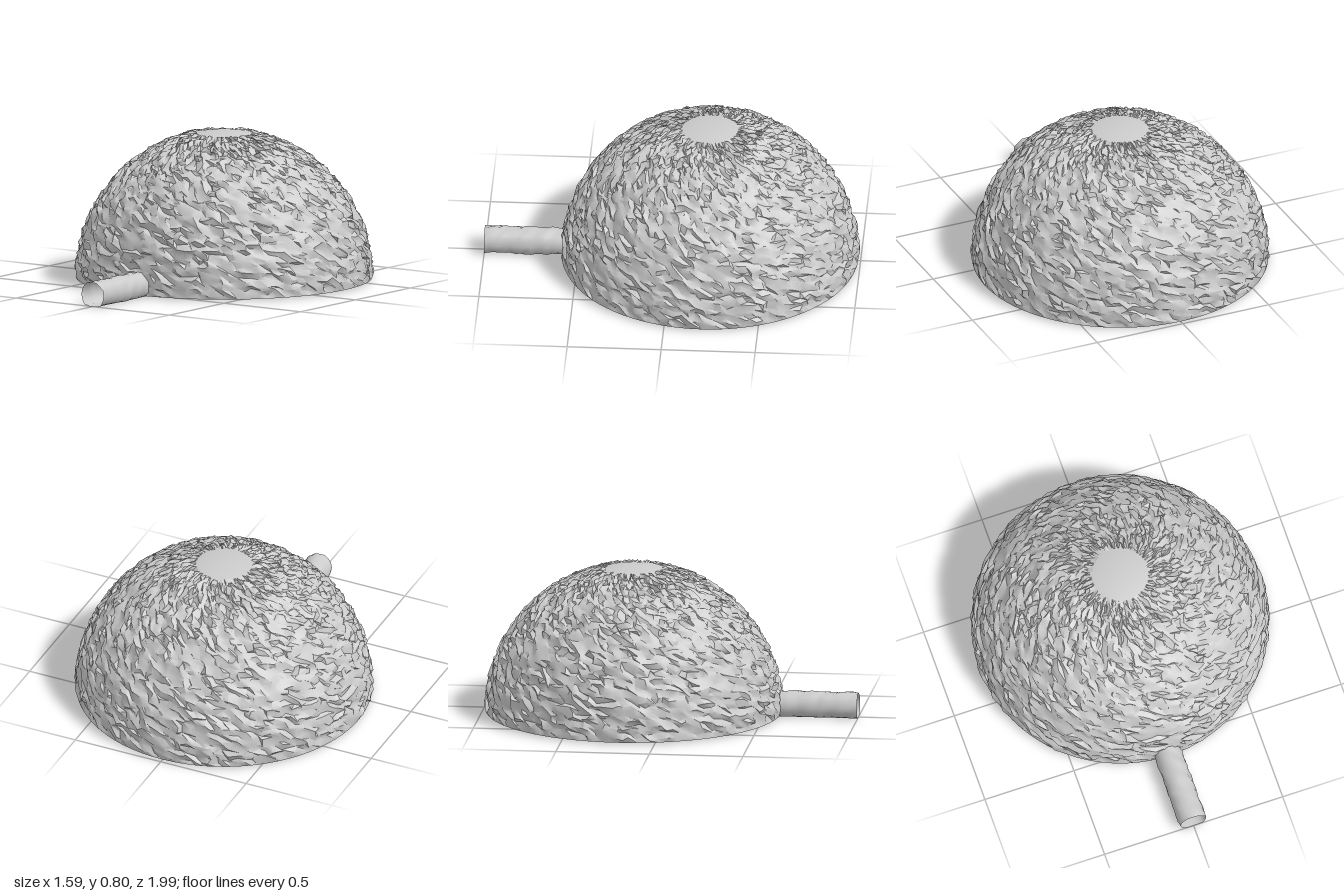
import * as THREE from 'three';
import { toCreasedNormals } from 'three/addons/utils/BufferGeometryUtils.js';

const RADIUS = 0.787, FLOOR = 0.008, CAP_ANGLE = 0.19, CENTRE_Z = -0.2;

// Repeatable noise in -1..1 for a pair of grid indices
function noise(i, j, seed) {
  const s = Math.sin(i * 127.1 + j * 311.7 + seed * 74.7) * 43758.5453;
  return 2 * (s - Math.floor(s)) - 1;
}

// Closed-round grid of points, open at both ends
function ringGrid(rows, cols, pointAt) {
  const positions = [], indices = [];
  for (let j = 0; j <= rows; j++) {
    for (let i = 0; i < cols; i++) {
      positions.push(...pointAt(i, j));
      const next = (i + 1) % cols;
      if (j < rows) {
        const a = j * cols + i, b = j * cols + next;
        indices.push(a, b, a + cols, b, b + cols, a + cols);
      }
    }
  }
  const geometry = new THREE.BufferGeometry();
  geometry.setAttribute('position', new THREE.Float32BufferAttribute(positions, 3));
  geometry.setIndex(indices);
  return geometry;
}

export function createModel() {
  const group = new THREE.Group();
  const material = new THREE.MeshStandardMaterial({ color: 0xcccccc, side: THREE.DoubleSide });
  function add(name, geometry) {
    const mesh = new THREE.Mesh(geometry, material);
    mesh.name = name;
    group.add(mesh);
    return mesh;
  }

  // Rough shell: jittered hemisphere from the floor up to the smooth cap
  const rows = 46, cols = 132;
  const shell = ringGrid(rows, cols, (i, j) => {
    const edge = j === 0 || j === rows ? 0 : 1;
    const t = j / rows;
    const ringSize = Math.max(0.25, Math.cos(t * 1.38));
    const elevation = t * (Math.PI / 2 - CAP_ANGLE) + edge * 0.013 * noise(i, j, 1);
    const angle = (i / cols) * Math.PI * 2 + edge * 0.02 * noise(i, j, 2) / Math.sqrt(ringSize);
    const r = RADIUS + edge * 0.013 * noise(i, j, 3);
    const flat = r * Math.cos(elevation);
    return [flat * Math.sin(angle), Math.max(FLOOR, FLOOR + r * Math.sin(elevation)),
      CENTRE_Z + flat * Math.cos(angle)];
  });
  add('domeShell', toCreasedNormals(shell, 0.7));

  // Smooth cap closing the top
  const cap = new THREE.SphereGeometry(RADIUS, cols, 4, 0, Math.PI * 2, 0, CAP_ANGLE);
  add('domeCap', cap).position.set(0, FLOOR, CENTRE_Z);

  // Flat underside
  const base = new THREE.CircleGeometry(RADIUS, cols).rotateX(Math.PI / 2);
  add('domeBase', base).position.set(0, FLOOR, CENTRE_Z);

  // Open entrance tunnel with a gently uneven wall, flattened on the ground
  const length = 18, sides = 16;
  const tunnel = ringGrid(length, sides, (i, j) => {
    const a = (i / sides) * Math.PI * 2;
    const r = 0.074 + 0.005 * noise(i, j, 5);
    return [-0.003 + r * Math.cos(a), Math.max(0, 0.06 + r * Math.sin(a)), 0.5 + (0.5 * j) / length];
  });
  tunnel.computeVertexNormals();
  add('entranceTunnel', tunnel);

  return group;
}
